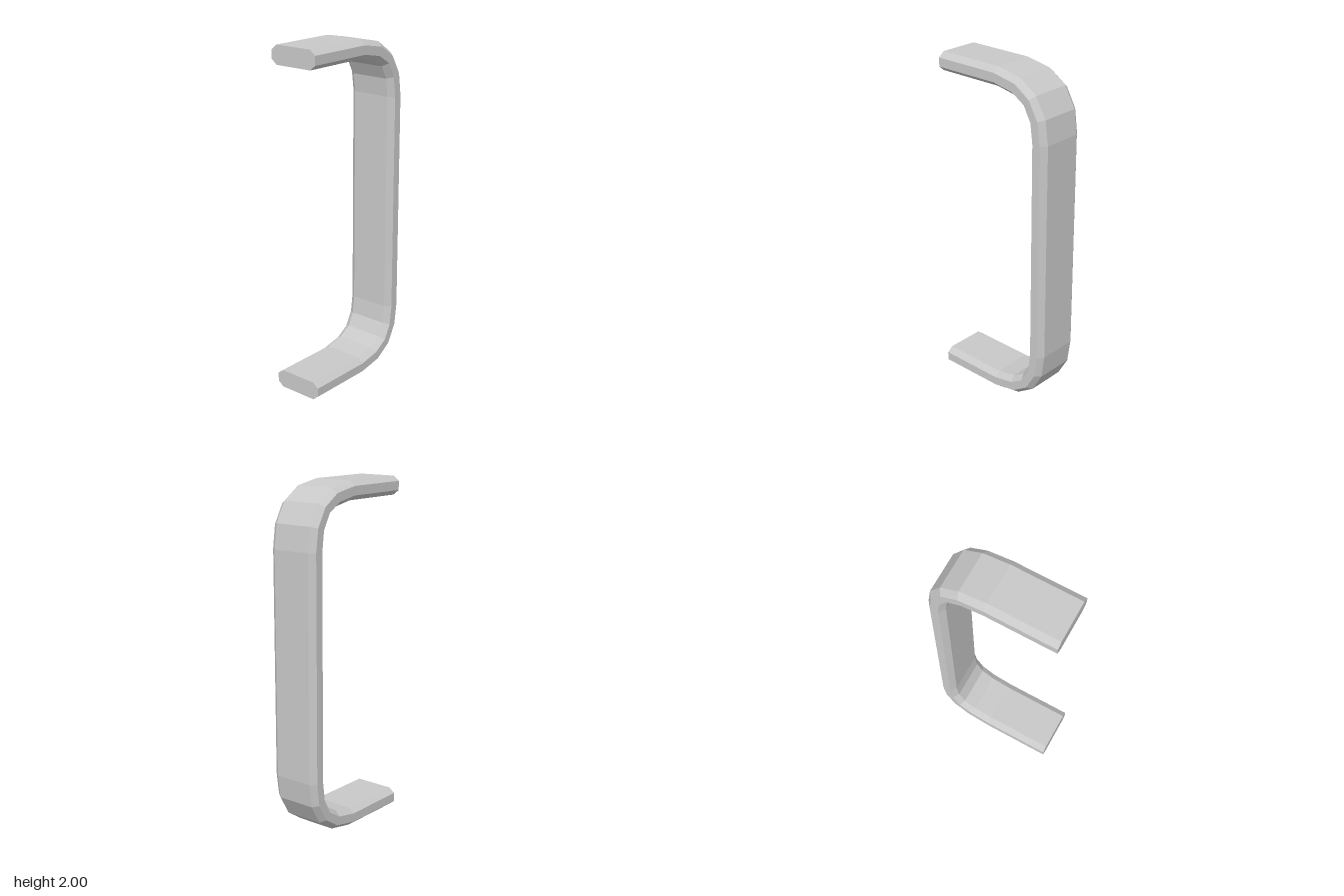
import * as THREE from 'three';

// Half of the bend, from open end to upright: outer and inner edge as [z, y]
const OUTER = [[0.377, 0], [-0.027, 0], [-0.183, 0.029], [-0.292, 0.102], [-0.358, 0.217], [-0.377, 0.355]];
const INNER = [[0.377, 0.107], [-0.027, 0.107], [-0.146, 0.13], [-0.22, 0.174], [-0.26, 0.25], [-0.273, 0.355]];

// Chamfered strip section: [x, depth from outer (0) to inner (1) edge]
const SECTION = [
  [0.117, 0], [-0.117, 0], [-0.152, 0.26], [-0.152, 0.74],
  [-0.117, 1], [0.117, 1], [0.152, 0.74], [0.152, 0.26],
];

// Mirror the lower half upward and run from the top end to the bottom end
const fullPath = (half) => [
  ...half.map(([z, y]) => [z, 2 - y]),
  ...[...half].reverse(),
];

function sweptStrip() {
  const outer = fullPath(OUTER), inner = fullPath(INNER);
  const n = SECTION.length, positions = [], index = [];
  outer.forEach(([zo, yo], i) => {
    const [zi, yi] = inner[i];
    for (const [x, t] of SECTION) positions.push(x, yo + (yi - yo) * t, zo + (zi - zo) * t);
  });

  // Sides
  for (let i = 0; i < outer.length - 1; i++) {
    for (let j = 0; j < n; j++) {
      const a = i * n + j, b = i * n + (j + 1) % n;
      index.push(a, a + n, b, b, a + n, b + n);
    }
  }
  // End caps
  const last = (outer.length - 1) * n;
  for (let j = 1; j < n - 1; j++) {
    index.push(0, j, j + 1, last, last + j + 1, last + j);
  }

  const indexed = new THREE.BufferGeometry();
  indexed.setAttribute('position', new THREE.Float32BufferAttribute(positions, 3));
  indexed.setIndex(index);
  const geometry = indexed.toNonIndexed();
  geometry.computeVertexNormals();
  return geometry;
}

export function createModel() {
  const metal = new THREE.MeshStandardMaterial({ color: 0xc8c8c8, flatShading: true });
  metal.name = 'grey metal';
  const handle = new THREE.Mesh(sweptStrip(), metal);
  handle.name = 'pullHandle';
  const model = new THREE.Group();
  model.name = 'handle';
  model.add(handle);
  return model;
}
